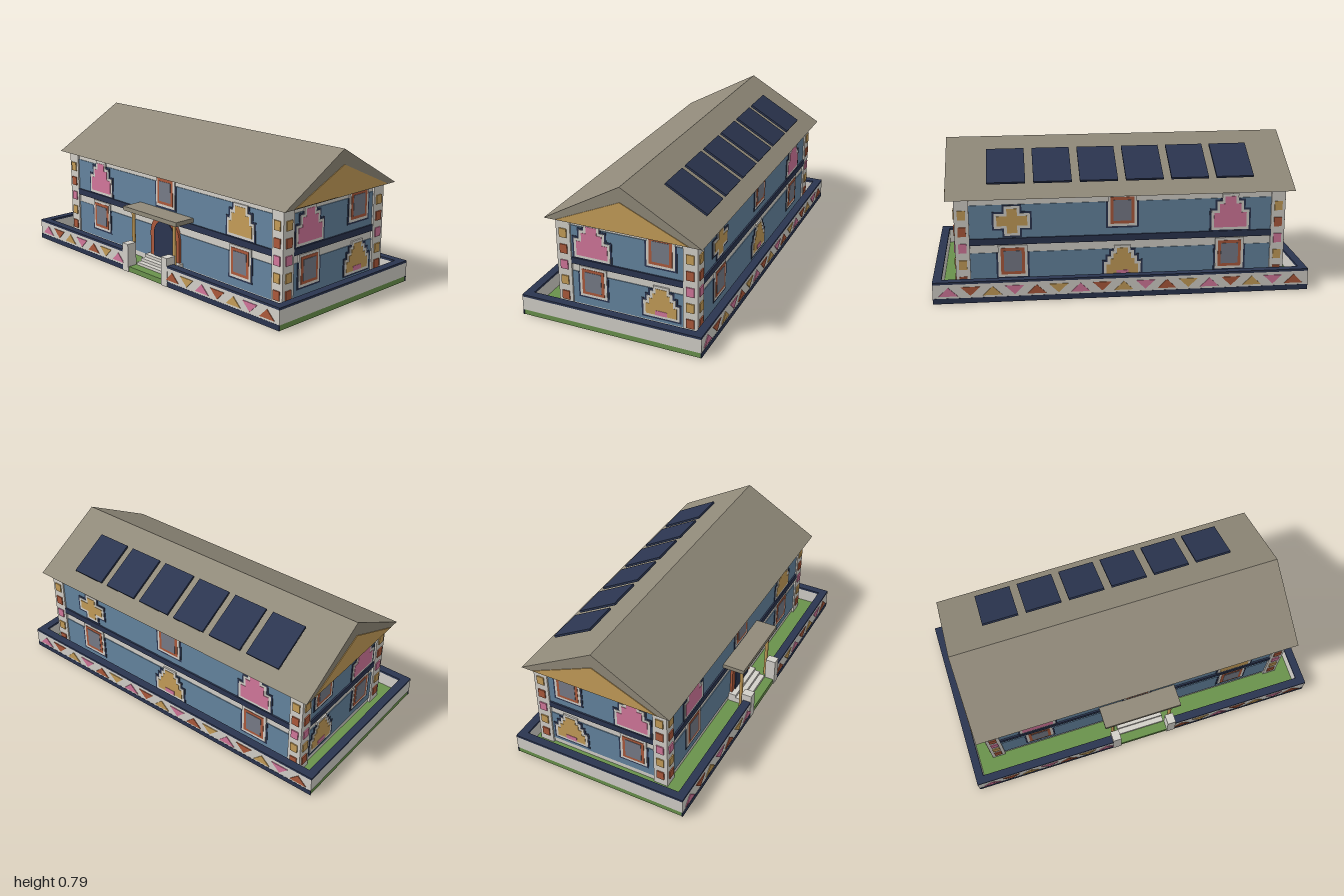
import * as THREE from 'three';

const mat = (name, color) => Object.assign(new THREE.MeshStandardMaterial({ color }), { name });
const M = {
  white: mat('whitewash', 0xd4d1ca), blue: mat('wall blue', 0x6585a0), navy: mat('navy', 0x2b3550),
  tan: mat('ochre', 0xc69e59), pink: mat('pink', 0xd4789c), red: mat('terracotta', 0xad5a3c),
  green: mat('lawn green', 0x6a924c), roof: mat('roof grey', 0x918a7a), pane: mat('window grey', 0x787c88),
};

function add(parent, name, geometry, material) {
  const mesh = new THREE.Mesh(geometry, material);
  mesh.name = name;
  parent.add(mesh);
  return mesh;
}

// Box given by its extents on each axis
function box(parent, name, material, [x0, x1], [y0, y1], [z0, z1]) {
  const m = add(parent, name, new THREE.BoxGeometry(x1 - x0, y1 - y0, z1 - z0), material);
  m.position.set((x0 + x1) / 2, (y0 + y1) / 2, (z0 + z1) / 2);
  return m;
}

const polygon = points => new THREE.Shape(points.map(p => new THREE.Vector2(...p)));

// Flat shape extruded from z by depth
function plate(parent, name, material, shape, z, depth) {
  const geo = new THREE.ExtrudeGeometry(shape, { depth, bevelEnabled: false, curveSegments: 16 });
  const m = add(parent, name, geo, material);
  m.position.z = z;
  return m;
}

// Stepped outline: rows of [half width, top], grown by d and cut off at maxY
function stepped(cx, bottom, rows, d = 0, maxY = 9) {
  const right = [];
  let y = bottom - d;
  rows.forEach(([hw, top], i) => {
    const widens = i + 1 < rows.length && rows[i + 1][0] > hw;
    right.push([hw + d, y]);
    y = Math.min(widens ? top - d : top + d, maxY);
    right.push([hw + d, y]);
  });
  const left = right.map(([x, py]) => [-x, py]).reverse();
  return polygon([...right, ...left].map(([x, py]) => [cx + x, py]));
}

function archShape(hw, bottom, spring) {
  const s = new THREE.Shape();
  s.moveTo(-hw, bottom);
  s.lineTo(hw, bottom);
  s.lineTo(hw, spring);
  s.absarc(0, spring, hw, 0, Math.PI, false);
  s.closePath();
  return s;
}

// Layered navy and white surround behind a coloured figure
function framed(wall, name, material, cx, bottom, rows, maxY) {
  plate(wall, name + 'Outline', M.navy, stepped(cx, bottom, rows, 0.024, maxY), 0.001, 0.006);
  plate(wall, name + 'Border', M.white, stepped(cx, bottom, rows, 0.014), 0.001, 0.008);
  plate(wall, name, material, stepped(cx, bottom, rows), 0.002, 0.009);
}

function windowUnit(wall, cx, upper) {
  const b = upper ? 0.385 : 0.126;
  framed(wall, 'windowFrame', M.red, cx, b, [[0.063, b + 0.145]], upper ? 0.505 : 0.245);
  plate(wall, 'windowPane', M.pane, stepped(cx, b + 0.016, [[0.047, b + 0.129]]), 0.004, 0.009);
}

function pinkMotif(wall, cx) {
  framed(wall, 'pinkMotif', M.pink, cx, 0.345, [[0.088, 0.425], [0.058, 0.475], [0.03, 0.515]], 0.505);
}

function ochreMotif(wall, cx, upper) {
  const b = upper ? 0.345 : 0.1;
  const rows = upper ? [[0.083, 0.41], [0.062, 0.455], [0.037, 0.495]]
    : [[0.085, 0.158], [0.065, 0.19], [0.047, 0.22], [0.03, 0.25]];
  framed(wall, 'ochreMotif', M.tan, cx, b, rows, upper ? 0.505 : 0.245);
  if (!upper) plate(wall, 'motifHeart', M.pink, stepped(cx, b, [[0.032, 0.126]]), 0.004, 0.009);
}

function crossMotif(wall, cx) {
  framed(wall, 'crossMotif', M.tan, cx, 0.352, [[0.027, 0.392], [0.08, 0.444], [0.027, 0.484]], 0.505);
}

// One painted wall face; local +z points outward
function wallFace(house, name, half, x, z, turn) {
  const wall = new THREE.Group();
  wall.name = name;
  wall.position.set(x, 0, z);
  wall.rotation.y = turn;
  house.add(wall);
  box(wall, 'lowerPanel', M.blue, [-half, half], [0.06, 0.245], [-0.002, 0.004]);
  box(wall, 'upperPanel', M.blue, [-half, half], [0.325, 0.505], [-0.002, 0.004]);
  box(wall, 'floorBand', M.navy, [-half, half], [0.29, 0.325], [-0.002, 0.0125]);
  return wall;
}

// Row of alternating triangles along a boundary wall
function triangleRow(parent, z, turn, skip) {
  const row = new THREE.Group();
  row.name = 'triangleFrieze';
  row.rotation.y = turn;
  const cycle = [M.pink, M.red, M.tan];
  for (let i = 0; i < 17; i++) {
    if (skip && i > 6 && i < 10) continue;
    const x = -0.92 + i * 0.115, up = i % 2 === 0;
    const pts = up ? [[x - 0.05, 0.042], [x + 0.05, 0.042], [x, 0.09]]
      : [[x - 0.05, 0.09], [x, 0.042], [x + 0.05, 0.09]];
    plate(row, 'friezeTriangle', cycle[i % 3], polygon(pts), z - 0.001, 0.005);
  }
  parent.add(row);
}

export function createModel() {
  const model = new THREE.Group();
  model.name = 'paintedHouse';

  // Ground and boundary wall
  box(model, 'lawn', M.green, [-0.997, 0.997], [0, 0.03], [-0.497, 0.497]);
  const fence = new THREE.Group();
  fence.name = 'boundaryWall';
  model.add(fence);
  const runs = [
    [[-1, 1], [-0.5, -0.455]], [[-1, -0.955], [-0.455, 0.455]], [[0.955, 1], [-0.455, 0.455]],
    [[-1, -0.17], [0.455, 0.5]], [[0.17, 1], [0.455, 0.5]],
  ];
  for (const [xs, zs] of runs) {
    box(fence, 'wallRun', M.white, xs, [0.03, 0.106], zs);
    box(fence, 'wallCap', M.navy, xs, [0.106, 0.118], zs);
  }
  box(fence, 'backBaseStripe', M.navy, [-1, 1], [0.001, 0.03], [-0.501, -0.495]);
  for (const s of [-1, 1]) {
    const xs = s < 0 ? [-1, -0.17] : [0.17, 1];
    box(fence, 'frontBaseStripe', M.navy, xs, [0.001, 0.03], [0.495, 0.501]);
    box(fence, 'gatePillar', M.white, [s * 0.165 - 0.024, s * 0.165 + 0.024], [0, 0.16], [0.445, 0.503]);
  }
  triangleRow(fence, 0.5, 0, true);
  triangleRow(fence, 0.5, Math.PI, false);

  // House body, corner piers and their painted squares
  const house = new THREE.Group();
  house.name = 'house';
  house.position.z = -0.04;
  model.add(house);
  box(house, 'body', M.white, [-0.865, 0.865], [0.03, 0.546], [-0.378, 0.378]);
  const squares = [M.red, M.tan, M.pink, M.red, M.tan];
  for (const sx of [-1, 1]) for (const sz of [-1, 1]) {
    const px = sx * 0.84, pz = sz * 0.35;
    box(house, 'cornerPier', M.white, [px - 0.038, px + 0.038], [0.03, 0.546], [pz - 0.04, pz + 0.04]);
    squares.forEach((m, i) => {
      const y = 0.097 + i * 0.09, ys = [y - 0.025, y + 0.025];
      const ox = sx * 0.88, oz = sz * 0.392;
      box(house, 'pierSquare', m, [px - 0.021, px + 0.021], ys, [oz - 0.004, oz + 0.004]);
      box(house, 'pierSquare', m, [ox - 0.004, ox + 0.004], ys, [pz - 0.021, pz + 0.021]);
    });
  }

  // Front wall with arched door
  const front = wallFace(house, 'frontWall', 0.805, 0, 0.378, 0);
  pinkMotif(front, -0.58);
  windowUnit(front, 0, true);
  ochreMotif(front, 0.58, true);
  windowUnit(front, -0.58, false);
  windowUnit(front, 0.58, false);
  plate(front, 'doorSurround', M.red, archShape(0.12, 0.03, 0.205), 0, 0.017);
  plate(front, 'door', M.navy, archShape(0.086, 0.03, 0.208), 0.013, 0.009);

  // Back wall
  const back = wallFace(house, 'backWall', 0.805, 0, -0.378, Math.PI);
  crossMotif(back, -0.58);
  windowUnit(back, 0, true);
  pinkMotif(back, 0.58);
  windowUnit(back, -0.58, false);
  ochreMotif(back, 0, false);
  windowUnit(back, 0.58, false);

  // End walls mirror each other
  for (const s of [-1, 1]) {
    const end = wallFace(house, s > 0 ? 'leftEndWall' : 'rightEndWall', 0.312, s * 0.865, 0, s * Math.PI / 2);
    pinkMotif(end, -s * 0.19);
    windowUnit(end, s * 0.19, true);
    windowUnit(end, -s * 0.19, false);
    ochreMotif(end, s * 0.19, false);
  }

  // Gabled roof with painted gable triangles
  const roofShape = polygon([[-0.43, 0.545], [0.43, 0.545], [0, 0.79]]);
  const roof = plate(house, 'roof', M.roof, roofShape, 0, 1.84);
  roof.rotation.y = Math.PI / 2;
  roof.position.x = -0.92;
  const gableShape = polygon([[-0.36, 0.549], [0.36, 0.549], [0, 0.71]]);
  for (const x of [-0.924, 0.919]) {
    const gable = plate(house, 'gable', M.tan, gableShape, 0, 0.005);
    gable.rotation.y = Math.PI / 2;
    gable.position.x = x;
  }

  // Solar panels floating above the back slope
  for (let i = 0; i < 6; i++) {
    const p = add(model, 'solarPanel', new THREE.BoxGeometry(0.2, 0.012, 0.26), M.navy);
    p.position.set(-0.605 + i * 0.242, 0.68, -0.291);
    p.rotation.x = -Math.atan2(0.245, 0.43);
  }

  // Porch: canopy, posts and steps
  const porch = new THREE.Group();
  porch.name = 'porch';
  model.add(porch);
  box(porch, 'canopy', M.roof, [-0.222, 0.222], [0.333, 0.357], [0.335, 0.465]);
  for (const s of [-1, 1]) {
    const post = add(porch, 'porchPost', new THREE.CylinderGeometry(0.01, 0.01, 0.303, 12), M.tan);
    post.position.set(s * 0.172, 0.1815, 0.433);
  }
  for (let i = 0; i < 3; i++) {
    box(porch, 'step', M.white, [-0.136, 0.136], [0.03, 0.08 - i * 0.017], [0.335, 0.385 + i * 0.03]);
  }
  return model;
}
